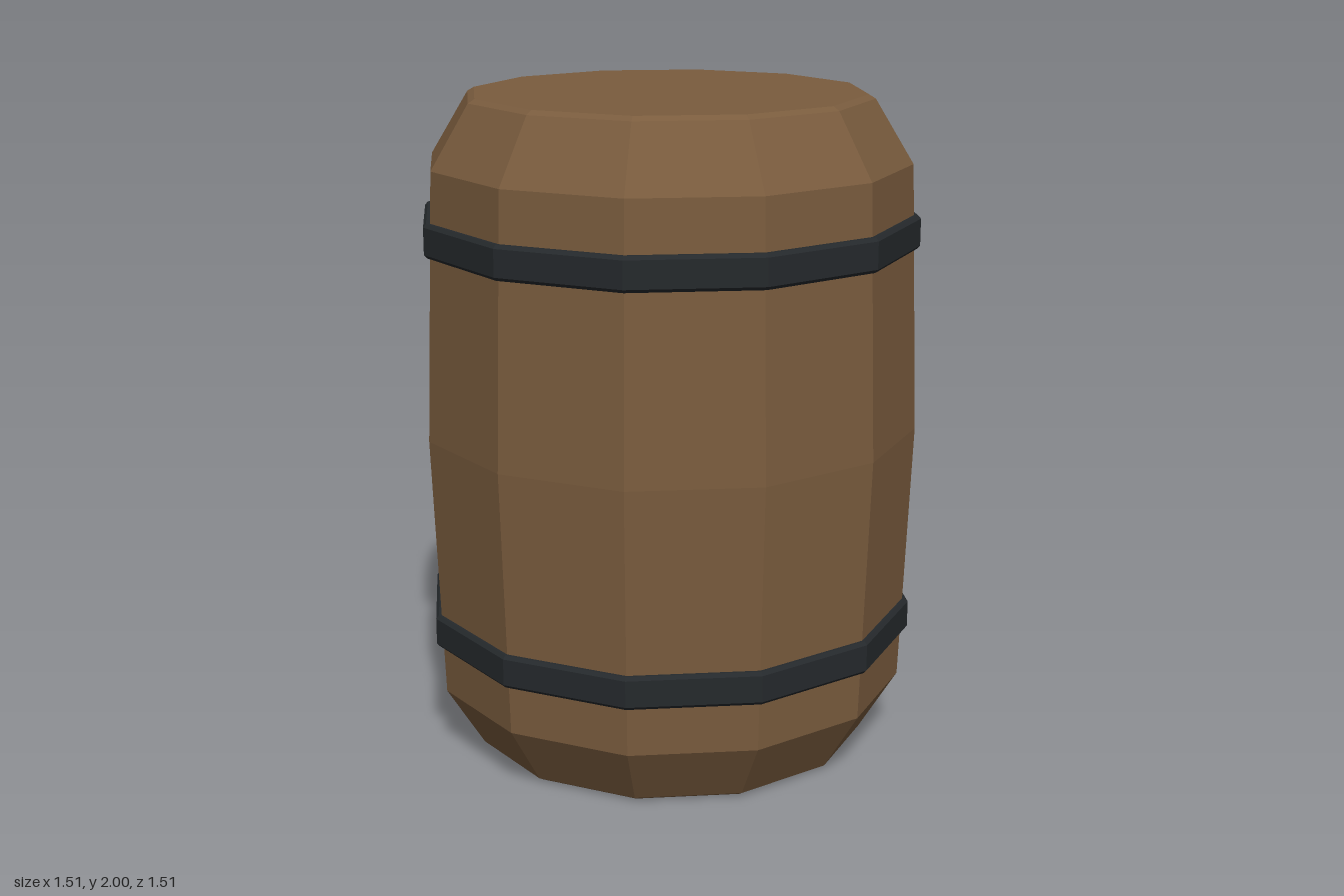
import * as THREE from 'three';

const SIDES = 12;

// Faceted solid of revolution from [radius, height] pairs, listed bottom to top
function turned(name, profile, color) {
  const points = profile.map(([r, y]) => new THREE.Vector2(r, y));
  const material = new THREE.MeshStandardMaterial({ color, flatShading: true });
  const mesh = new THREE.Mesh(new THREE.LatheGeometry(points, SIDES), material);
  mesh.name = name;
  return mesh;
}

export function createModel() {
  const barrel = new THREE.Group();
  barrel.name = 'barrel';

  // Bulging wooden body with chamfered ends and closed lids
  barrel.add(turned('woodenBody', [
    [0, 0], [0.59, 0], [0.61, 0.012], [0.725, 0.2], [0.755, 1],
    [0.725, 1.8], [0.61, 1.988], [0.59, 2], [0, 2],
  ], 0x7a5c3e));

  // Two iron hoops with bevelled edges
  const hoopProfile = [
    [0.715, -0.05], [0.743, -0.05], [0.752, -0.04],
    [0.752, 0.04], [0.743, 0.05], [0.715, 0.05],
  ];
  [['lowerHoop', 0.4], ['upperHoop', 1.6]].forEach(([name, y]) => {
    const hoop = turned(name, hoopProfile, 0x25292c);
    hoop.position.y = y;
    barrel.add(hoop);
  });

  return barrel;
}
